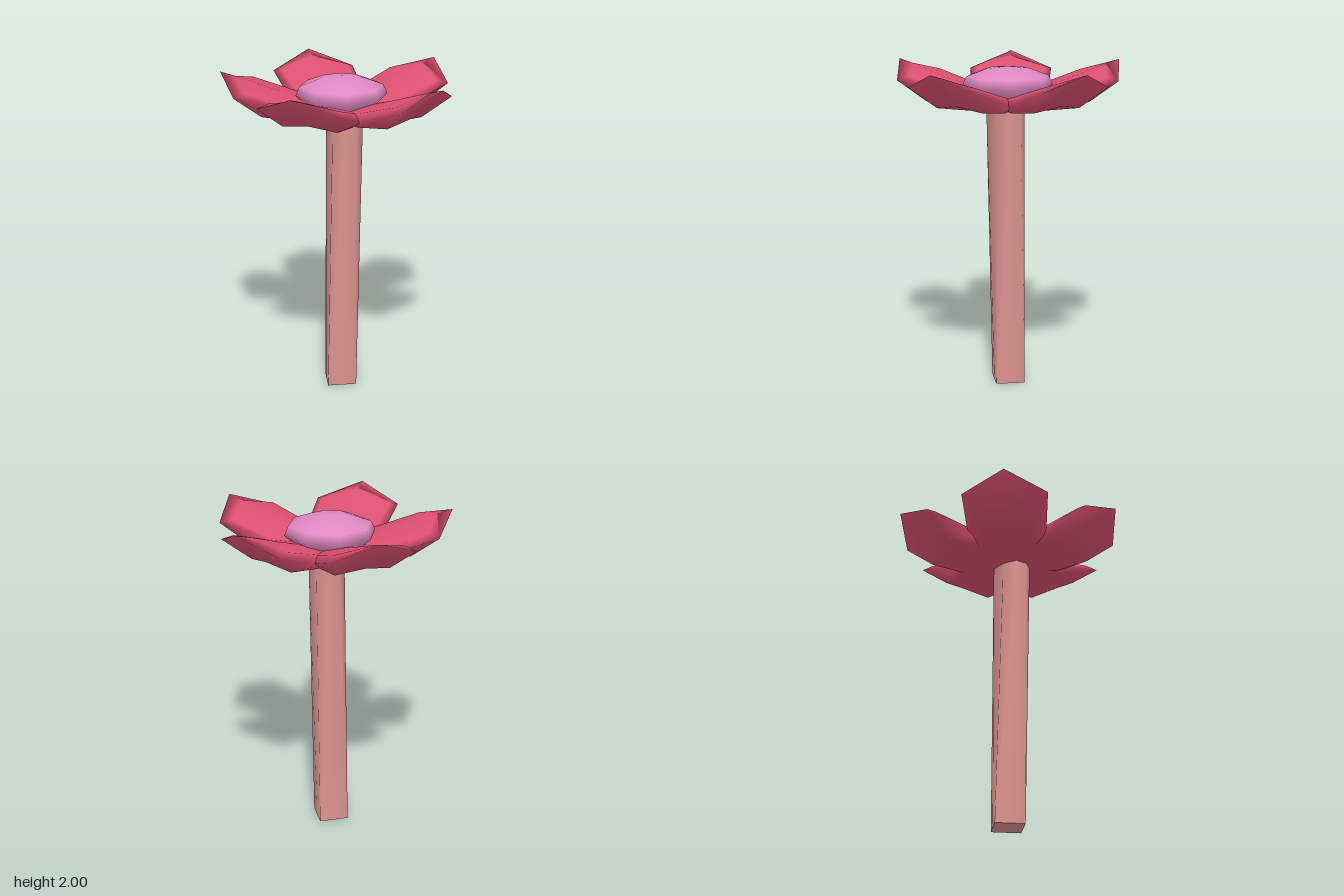
import * as THREE from 'three';
import { toCreasedNormals } from 'three/addons/utils/BufferGeometryUtils.js';

const CENTRE_Z = -0.02;
const paint = (color) => new THREE.MeshStandardMaterial({ color });

// Half outline [x, y, z] from tip to root, mirrored into a closed seven-point loop
function loop(half) {
  const mirrored = half.slice(1).reverse().map(([x, y, z]) => [-x, y, z]);
  return [...half, ...mirrored];
}

// Closed petal: rounded belly, pointed rim and a slightly bevelled top
function petalGeometry() {
  const rings = [
    loop([[0, 1.8, 0.5], [0.17, 1.77, 0.46], [0.17, 1.745, 0.25], [0.08, 1.735, 0.04]]),
    loop([[0, 2.0, 0.72], [0.26, 1.9, 0.61], [0.24, 1.79, 0.28], [0.11, 1.76, 0.0]]),
    loop([[0, 1.975, 0.63], [0.22, 1.92, 0.55], [0.2, 1.84, 0.28], [0.08, 1.79, 0.05]]),
  ];
  const n = rings[0].length;
  const points = [...rings.flat(), [0, 1.745, 0.28], [0, 1.885, 0.36]];
  const bottom = 3 * n, top = bottom + 1;
  const index = [];
  for (let i = 0; i < n; i++) {
    const j = (i + 1) % n;
    for (let r = 0; r < 2; r++) {
      const a = r * n, b = a + n;
      index.push(a + i, a + j, b + j, a + i, b + j, b + i);
    }
    index.push(j, i, bottom, 2 * n + i, 2 * n + j, top);
  }
  const geo = new THREE.BufferGeometry();
  geo.setAttribute('position', new THREE.Float32BufferAttribute(points.flat(), 3));
  geo.setIndex(index);
  geo.computeVertexNormals();
  return geo;
}

// Stem: diamond section at the foot, becoming a rounder oval at the top
function stemGeometry() {
  const height = 1.77;
  const geo = new THREE.CylinderGeometry(1, 1, height, 8, 1);
  geo.translate(0, height / 2, 0);
  const p = geo.attributes.position;
  const lerp = THREE.MathUtils.lerp;
  for (let i = 0; i < p.count; i++) {
    const x = p.getX(i), z = p.getZ(i), t = p.getY(i) / height;
    const k = Math.abs(x * z) > 0.1 ? lerp(0.71, 1.12, t) : 1;
    p.setX(i, x * k * lerp(0.128, 0.115, t));
    p.setZ(i, z * k * lerp(0.125, 0.087, t) + lerp(-0.03, 0.004, t));
  }
  return toCreasedNormals(geo, 1.45);
}

export function createModel() {
  const flower = new THREE.Group();
  flower.name = 'flower';

  const stem = new THREE.Mesh(stemGeometry(), paint(0xdc9390));
  stem.name = 'stem';
  flower.add(stem);

  // Five petals around the middle, one facing the front
  const petals = new THREE.Group();
  petals.name = 'petals';
  petals.position.z = CENTRE_Z;
  const geo = petalGeometry();
  const red = paint(0xdc5070);
  [0, 75, 145, -145, -75].forEach((angle, i) => {
    const petal = new THREE.Mesh(geo, red);
    petal.name = `petal${i + 1}`;
    petal.rotation.y = THREE.MathUtils.degToRad(angle);
    petals.add(petal);
  });
  flower.add(petals);

  // Eight-sided domed middle
  const profile = [[0, 1.78], [0.2, 1.8], [0.275, 1.87], [0.25, 1.925], [0.13, 1.97], [0, 1.983]]
    .map(([r, y]) => new THREE.Vector2(r, y));
  const middle = new THREE.Mesh(new THREE.LatheGeometry(profile, 8), paint(0xdf88c0));
  middle.name = 'flowerCentre';
  middle.position.z = CENTRE_Z;
  flower.add(middle);

  return flower;
}
